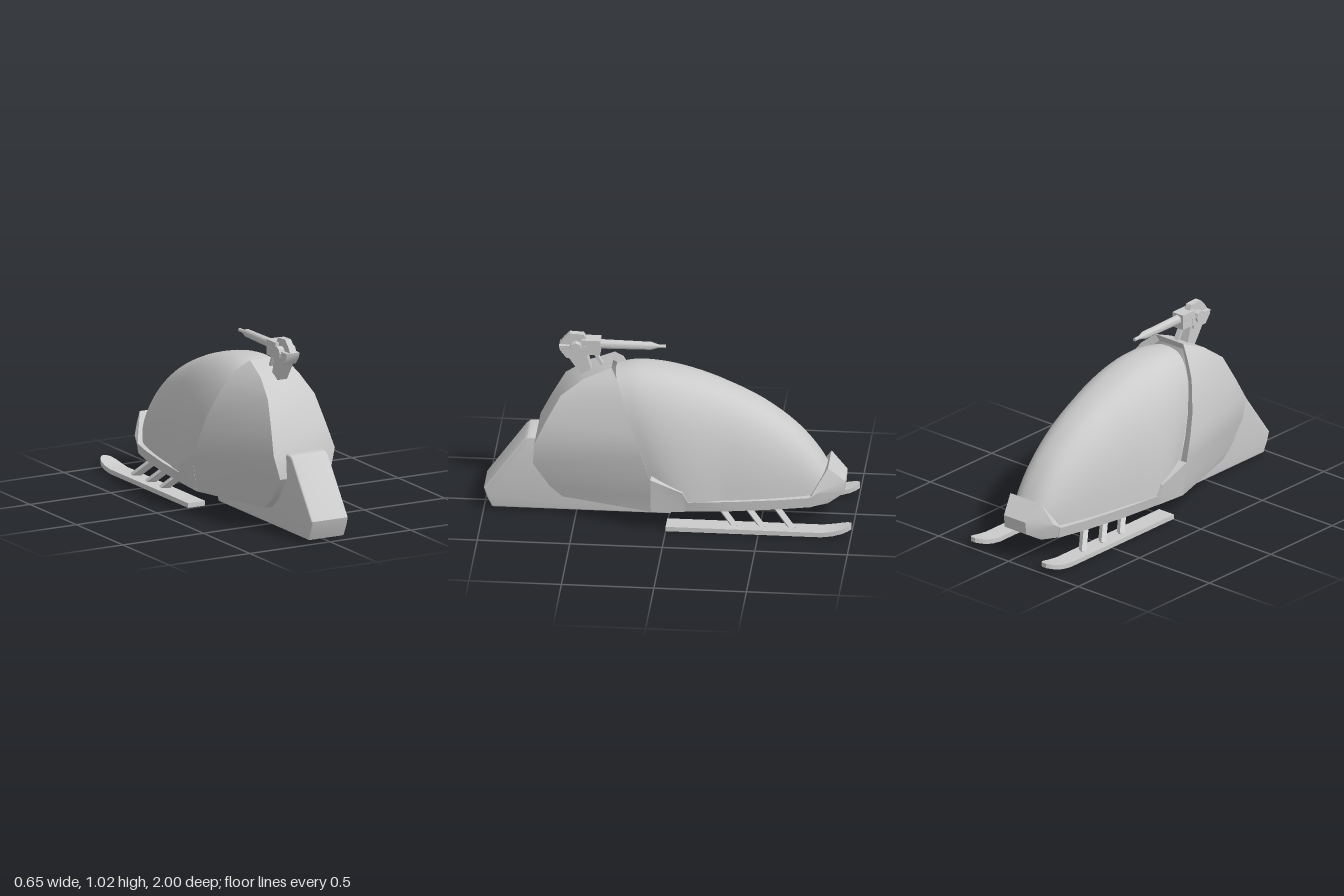
import * as THREE from 'three';
import { toCreasedNormals } from 'three/addons/utils/BufferGeometryUtils.js';
import { ConvexGeometry } from 'three/addons/geometries/ConvexGeometry.js';

const material = new THREE.MeshStandardMaterial({ color: 0xcccccc, side: THREE.DoubleSide });

function add(parent, name, geometry, crease = 0.6) {
  const mesh = new THREE.Mesh(toCreasedNormals(geometry, crease), material);
  mesh.name = name;
  parent.add(mesh);
  return mesh;
}

// Skin over rows of equally many [x, y, z] points
function grid(rows) {
  const n = rows[0].length, index = [];
  for (let i = 0; i < rows.length - 1; i++) {
    for (let j = 0; j < n - 1; j++) {
      const a = i * n + j, b = a + 1, c = a + n, d = c + 1;
      index.push(a, c, b, b, c, d);
    }
  }
  const g = new THREE.BufferGeometry();
  g.setAttribute('position', new THREE.Float32BufferAttribute(rows.flat(2), 3));
  g.setIndex(index);
  return g;
}

// Closed box-like loft; each section is [z, bottomHalf, topHalf, bottomY, topY]
function boxLoft(sections, cx = 0) {
  const rings = sections.map(([z, b, t, y0, y1]) =>
    [[cx - b, y0, z], [cx + b, y0, z], [cx + t, y1, z], [cx - t, y1, z], [cx - b, y0, z]]);
  const cap = ([z, , , y0, y1]) => Array(5).fill([cx, (y0 + y1) / 2, z]);
  return grid([cap(sections[0]), ...rings, cap(sections.at(-1))]);
}

// Side profile of [z, y] points, extruded across x
function sideExtrude(points, width, bevel = 0) {
  const shape = new THREE.Shape(points.map(([z, y]) => new THREE.Vector2(z, y)));
  const depth = width - 2 * bevel;
  return new THREE.ExtrudeGeometry(shape, {
    depth, bevelEnabled: bevel > 0, bevelSize: bevel, bevelThickness: bevel,
    bevelOffset: -bevel, bevelSegments: 3,
  }).translate(0, 0, -depth / 2).rotateY(-Math.PI / 2);
}

// Square bar between two points
function bar(parent, name, from, to, w, d) {
  const a = new THREE.Vector3(...from), b = new THREE.Vector3(...to);
  const mesh = add(parent, name, new THREE.BoxGeometry(w, a.distanceTo(b), d));
  mesh.position.copy(a).lerp(b, 0.5);
  mesh.quaternion.setFromUnitVectors(new THREE.Vector3(0, 1, 0), b.sub(a).normalize());
}

const flip = ([x, y, z]) => [-x, y, z];

export function createModel() {
  const model = new THREE.Group();
  model.name = 'snowVehicle';

  // Rear shell: panel edge and front arch, from the roof down to the floor
  const panel = [[0.1, 0.865, 0.31], [0.118, 0.8, 0.46], [0.145, 0.71, 0.58], [0.17, 0.56, 0.66],
    [0.19, 0.435, 0.72], [0.155, 0.3, 0.73], [0.155, 0.17, 0.64], [0.155, 0.11, 0.57], [0, 0.11, 0.57]];
  const arch = [[0.1, 0.865, 0.31], [0.165, 0.81, 0.27], [0.225, 0.72, 0.236], [0.285, 0.56, 0.175],
    [0.308, 0.435, 0.13], [0.325, 0.31, 0.08], [0.31, 0.2, 0.08], [0.3, 0.11, 0.08], [0, 0.11, 0.08]];
  add(model, 'rearShell', grid(panel.map((p, i) => [flip(arch[i]), flip(p), p, arch[i]])), 0.5);

  // Rim of the shell around the canopy
  const half = arch.slice(0, 8);
  const outer = [...half.map(flip).reverse(), ...half];
  const inner = outer.map(([x, y, z]) => [x * 0.84, 0.11 + (y - 0.11) * 0.95, z + 0.015]);
  add(model, 'shellRim', grid([outer, inner]));

  // Lower hull and nose
  add(model, 'lowerHull', boxLoft([
    [0.08, 0.3, 0.325, 0.11, 0.31], [-0.09, 0.285, 0.305, 0.11, 0.23], [-0.12, 0.28, 0.295, 0.11, 0.17],
    [-0.35, 0.255, 0.265, 0.11, 0.17], [-0.6, 0.21, 0.22, 0.11, 0.17], [-0.78, 0.165, 0.175, 0.11, 0.17],
  ]));
  const nose = [[0.165, 0.11, -0.77], [0.175, 0.17, -0.77], [0.165, 0.2, -0.82], [0.11, 0.32, -0.86],
    [0.077, 0.23, -0.95], [0.077, 0.16, -0.945], [0.11, 0.11, -0.86]];
  add(model, 'nose', new ConvexGeometry([...nose, ...nose.map(flip)].map((p) => new THREE.Vector3(...p))), 0.3);

  // Canopy: rounded sections [z, half width, top], leaning along the arch at the back
  const spine = new THREE.CatmullRomCurve3([
    [-0.86, 0.095, 0.28], [-0.79, 0.135, 0.39], [-0.68, 0.172, 0.515], [-0.5, 0.217, 0.648], [-0.3, 0.252, 0.745],
    [-0.1, 0.28, 0.812], [0.05, 0.291, 0.843], [0.18, 0.287, 0.85], [0.3, 0.27, 0.832],
  ].map((p) => new THREE.Vector3(...p)));
  const canopy = spine.getPoints(32).map(({ x: z, y: w, z: top }) => {
    const lean = Math.max(0, (z + 0.3) / 0.6);
    return Array.from({ length: 41 }, (_, j) => {
      const a = (j / 40) * Math.PI, c = Math.cos(a), s = Math.sin(a);
      const y = 0.165 + (top - 0.165) * Math.pow(Math.max(s, 0), 0.8);
      return [w * Math.sign(c) * Math.pow(Math.abs(c), 0.8), y, z + 0.38 * (y - 0.85) * lean];
    });
  });
  add(model, 'canopy', grid(canopy), 1.2);

  // Track housing at the back
  add(model, 'trackHousing', sideExtrude([[1, 0.12], [0.985, 0.07], [0.955, 0.01], [-0.01, 0.01], [-0.055, 0.1],
    [-0.05, 0.12], [0.6, 0.43], [0.74, 0.437], [0.765, 0.435], [0.785, 0.42]].reverse(), 0.226, 0.01));

  // Skis with upturned rounded tips, on slanted struts
  for (const side of [1, -1]) {
    const ski = new THREE.Group();
    ski.name = side > 0 ? 'leftSki' : 'rightSki';
    model.add(ski);
    const stations = [[0, 0.053, 0], [-0.84, 0.053, 0], [-0.9, 0.052, 0.008], [-0.95, 0.046, 0.02],
      [-0.98, 0.033, 0.03], [-1, 0.014, 0.036]];
    add(ski, 'runner', boxLoft(stations.map(([z, w, y]) => [z, w, w, y, y + 0.026]), side * 0.253));
    for (const z of [-0.26, -0.41, -0.57]) {
      bar(ski, 'strut', [side * 0.17, 0.13, z], [side * 0.252, 0.015, z - 0.115], 0.03, 0.035);
    }
  }

  // Roof gun on a leaning post
  const gun = new THREE.Group();
  gun.name = 'roofGun';
  model.add(gun);
  add(gun, 'post', sideExtrude([[0.56, 0.9], [0.48, 0.78], [0.42, 0.79], [0.45, 0.9]], 0.06));
  bar(gun, 'brace', [0, 0.92, 0.415], [0, 0.82, 0.36], 0.03, 0.015);
  add(gun, 'cradle', sideExtrude([[0.6, 0.955], [0.595, 0.93], [0.56, 0.885], [0.465, 0.885], [0.45, 0.955]], 0.08));
  add(gun, 'receiver', sideExtrude([[0.6, 0.955], [0.575, 0.99], [0.545, 1.02], [0.47, 1.017], [0.45, 0.985],
    [0.45, 0.92], [0.56, 0.9]], 0.036));
  const block = add(gun, 'breech', new THREE.BoxGeometry(0.076, 0.085, 0.1));
  block.position.set(0, 0.948, 0.428);
  const pivot = add(gun, 'pivot', new THREE.CylinderGeometry(0.034, 0.034, 0.104, 8).rotateZ(Math.PI / 2));
  pivot.position.set(0, 0.945, 0.51);
  const barrel = [[0, 0], [0.026, 0], [0.022, 0.29], [0.01, 0.33], [0.01, 0.37], [0, 0.37]];
  const tube = new THREE.LatheGeometry(barrel.map((p) => new THREE.Vector2(...p)), 16).rotateX(-Math.PI / 2);
  add(gun, 'barrel', tube).position.set(0, 0.957, 0.395);

  return model;
}
